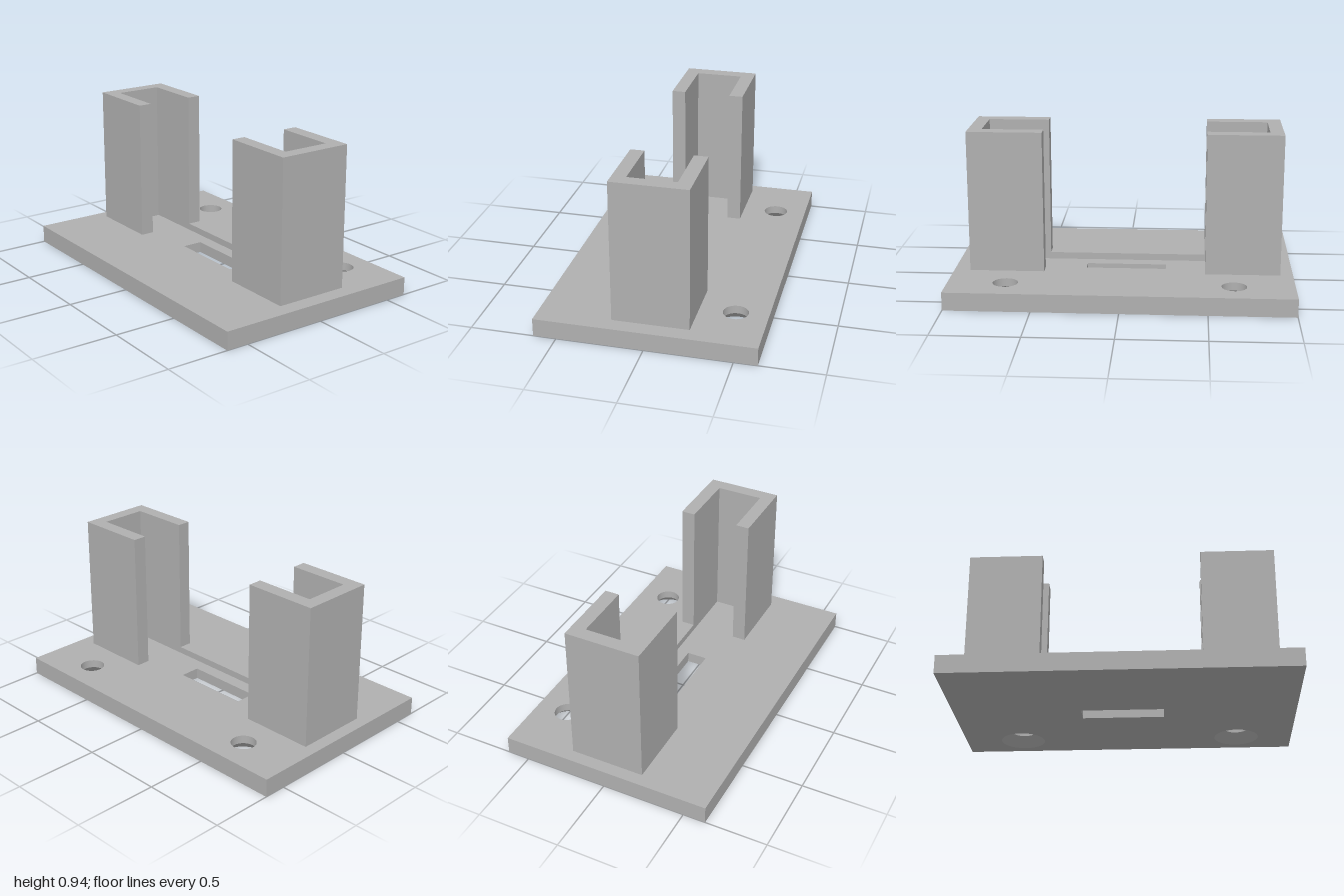
import * as THREE from 'three';
import { mergeGeometries } from 'three/addons/utils/BufferGeometryUtils.js';

const THICK = 0.107, FLOOR = 0.066, POST_TOP = 0.945, SEGS = 32;
const HOLE_R = 0.073, SINK_R = 0.133, SINK_H = 0.058;

// Outlines are lists of [x, z]
const rect = (x0, x1, z0, z1) => [[x0, z0], [x1, z0], [x1, z1], [x0, z1]];
const circle = (cx, cz, r) => Array.from({ length: SEGS }, (_, i) => {
  const a = (i / SEGS) * Math.PI * 2;
  return [cx + r * Math.cos(a), cz + r * Math.sin(a)];
});

function makeShape(outline, holes, sign) {
  const vecs = (pts) => pts.map(([x, z]) => new THREE.Vector2(x, sign * z));
  const shape = new THREE.Shape(vecs(outline));
  holes.forEach((h) => shape.holes.push(new THREE.Path(vecs(h))));
  return shape;
}

// Horizontal face with openings, facing up or down
function face(y, up, outline, holes = []) {
  const g = new THREE.ShapeGeometry(makeShape(outline, holes, up ? -1 : 1));
  return g.rotateX(up ? -Math.PI / 2 : Math.PI / 2).translate(0, y, 0);
}

// Vertical walls around a rectangle, facing outward or inward
function walls(outline, y0, y1, outward) {
  const pts = outward ? [...outline].reverse() : outline;
  return mergeGeometries(pts.map(([ax, az], i) => {
    const [bx, bz] = pts[(i + 1) % pts.length];
    const g = new THREE.PlaneGeometry(Math.hypot(bx - ax, bz - az), y1 - y0);
    g.rotateY(Math.atan2(az - bz, bx - ax));
    return g.translate((ax + bx) / 2, (y0 + y1) / 2, (az + bz) / 2);
  }));
}

export function createModel() {
  const group = new THREE.Group();
  const grey = new THREE.MeshStandardMaterial({ color: 0xb0b0b0 });
  grey.name = 'grey';
  const add = (name, geometry) => {
    const mesh = new THREE.Mesh(geometry, grey);
    mesh.name = name;
    group.add(mesh);
    return mesh;
  };

  const base = rect(-1, 1, -0.633, 0.633);
  const recess = rect(-0.845, 0.825, -0.155, 0.125);
  const slot = rect(-0.25, 0.23, -0.078, 0.045);
  const holes = [[-0.65, -0.445], [0.665, -0.445]];
  const rings = (r) => holes.map(([x, z]) => circle(x, z, r));

  // Base plate with a shallow recess and a slot through it
  add('basePlate', mergeGeometries([
    face(0, false, base, [slot, ...rings(SINK_R)]),
    face(THICK, true, base, [recess, ...rings(HOLE_R)]),
    walls(base, 0, THICK, true),
  ]));
  add('recess', mergeGeometries([
    face(FLOOR, true, recess, [slot]),
    walls(recess, FLOOR, THICK, false),
  ]));
  add('slot', walls(slot, 0, FLOOR, false));

  // Screw holes, countersunk from below
  const bore = [[HOLE_R, THICK], [HOLE_R, SINK_H], [SINK_R, 0]].map((p) => new THREE.Vector2(...p));
  for (const [x, z] of holes) {
    for (const i of [0, 1]) {
      const mesh = add(i ? 'countersink' : 'screwHole', new THREE.LatheGeometry(bore.slice(i, i + 2), SEGS));
      mesh.position.set(x, 0, z);
    }
  }

  // Upright channels, open toward the middle
  for (const side of [-1, 1]) {
    const px = (d) => -0.01 + side * d;
    const profile = [
      [px(0.475), -0.238], [px(0.915), -0.238], [px(0.915), 0.206], [px(0.475), 0.206],
      [px(0.475), 0.125], [px(0.835), 0.125], [px(0.835), -0.155], [px(0.475), -0.155],
    ];
    const g = new THREE.ExtrudeGeometry(makeShape(profile, [], -1), { depth: POST_TOP - THICK, bevelEnabled: false });
    g.rotateX(-Math.PI / 2).translate(0, THICK, 0);
    add(side < 0 ? 'rightChannel' : 'leftChannel', g);
  }
  return group;
}
